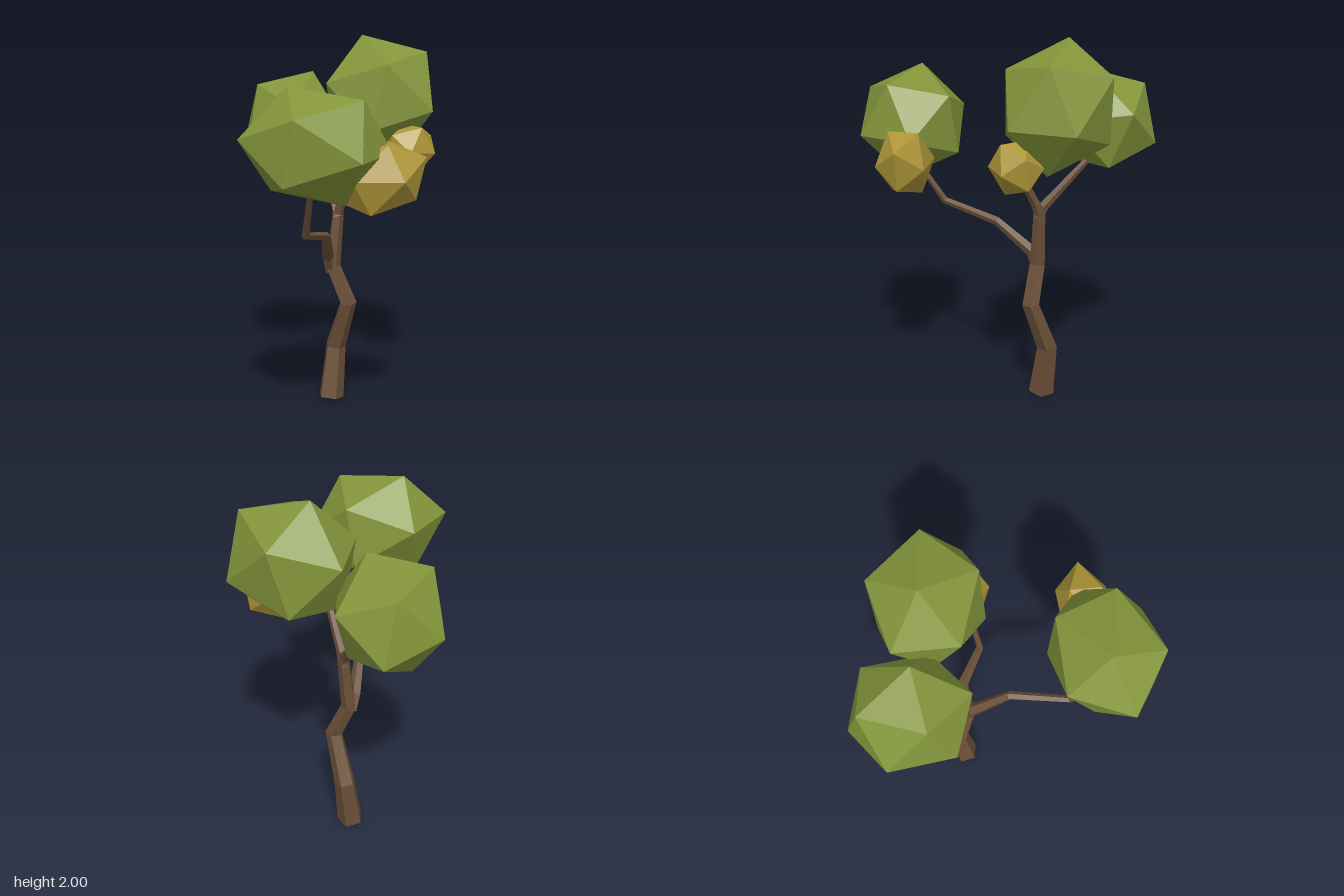
import * as THREE from 'three';
import { ConvexGeometry } from 'three/addons/geometries/ConvexGeometry.js';

const V = (p) => new THREE.Vector3(...p);
const material = (color) => new THREE.MeshStandardMaterial({ color, flatShading: true });

// Stretched icosahedron: one face (a, b, c, relative to the centre) fixes all twelve corners
function foliage(name, mat, centre, a, b, c) {
  const face = [V(a), V(b), V(c)];
  const points = [];
  face.forEach((p, i) => {
    const q = face[(i + 1) % 3], r = face[(i + 2) % 3];
    const across = q.clone().add(r).multiplyScalar(0.618034).sub(p);
    for (const v of [p, across]) points.push(v.clone(), v.clone().negate());
  });
  const mesh = new THREE.Mesh(new ConvexGeometry(points), mat);
  mesh.position.set(...centre);
  mesh.name = name;
  return mesh;
}

// Tapered five-sided limb along a bent path of [x, y, z, radius]
function limb(name, mat, path, sides = 5) {
  const pts = path.map((p) => V(p.slice(0, 3)));
  const dirs = pts.slice(1).map((p, i) => p.clone().sub(pts[i]).normalize());
  const positions = [], index = [];
  const side = new THREE.Vector3(1, 0, 0);
  pts.forEach((p, i) => {
    const t = dirs[Math.max(i - 1, 0)].clone().add(dirs[Math.min(i, dirs.length - 1)]).normalize();
    side.addScaledVector(t, -side.dot(t)).normalize();
    const up = side.clone().cross(t);
    for (let k = 0; k < sides; k++) {
      const angle = (k / sides) * Math.PI * 2;
      const v = p.clone()
        .addScaledVector(side, Math.cos(angle) * path[i][3])
        .addScaledVector(up, Math.sin(angle) * path[i][3]);
      positions.push(v.x, v.y, v.z);
      if (i > 0) {
        const n = (k + 1) % sides, lo = (i - 1) * sides, hi = i * sides;
        index.push(lo + k, hi + k, lo + n, lo + n, hi + k, hi + n);
      }
    }
  });
  // End caps
  const last = (pts.length - 1) * sides;
  for (let k = 1; k < sides - 1; k++) {
    index.push(0, k, k + 1, last, last + k + 1, last + k);
  }
  const indexed = new THREE.BufferGeometry();
  indexed.setAttribute('position', new THREE.Float32BufferAttribute(positions, 3));
  indexed.setIndex(index);
  const geometry = indexed.toNonIndexed();
  geometry.computeVertexNormals();
  const mesh = new THREE.Mesh(geometry, mat);
  mesh.name = name;
  return mesh;
}

export function createModel() {
  const group = new THREE.Group();
  group.name = 'tree';
  const bark = material(0x6b5038);
  const green = material(0x83943a);
  const gold = material(0xae9538);

  // Trunk and branches
  group.add(
    limb('trunk', bark, [
      [-0.05, 0.01, -0.178, 0.072],
      [-0.02, 0.3, -0.208, 0.057],
      [0.04, 0.57, -0.12, 0.047],
      [-0.04, 0.77, -0.15, 0.042],
      [-0.01, 1.08, -0.16, 0.032],
    ]),
    limb('frontBranch', bark, [
      [-0.05, 0.75, -0.155, 0.035],
      [-0.07, 0.83, -0.12, 0.034],
      [-0.095, 0.99, 0.07, 0.024],
      [-0.22, 1.06, 0.36, 0.02],
      [-0.205, 1.32, 0.53, 0.014],
    ]),
    limb('backBranch', bark, [
      [-0.01, 1.04, -0.15, 0.03],
      [-0.02, 1.1, -0.18, 0.027],
      [-0.12, 1.35, -0.42, 0.016],
    ]),
    limb('topBranch', bark, [
      [-0.015, 1.03, -0.165, 0.03],
      [0, 1.11, -0.145, 0.027],
      [0.07, 1.34, -0.04, 0.018],
      [0.11, 1.5, -0.06, 0.014],
    ]),
  );

  // Leaf crowns
  group.add(
    foliage('frontCrown', green, [-0.177, 1.518, 0.512],
      [-0.13, 0.275, -0.035], [0.209, 0.22, 0.096], [-0.118, 0.147, 0.247]),
    foliage('topCrown', green, [0.227, 1.68, -0.25],
      [-0.094, 0.32, -0.046], [0, 0.18, 0.253], [-0.299, 0.075, 0.09]),
    foliage('backCrown', green, [-0.233, 1.521, -0.458],
      [0.11, 0.283, 0.052], [-0.192, 0.214, 0.054], [-0.024, 0.188, -0.235]),
    foliage('frontSmallCrown', gold, [0.12, 1.365, 0.514],
      [0.217, 0.1, 0.018], [0.025, 0.165, 0.078], [0.098, 0, 0.136]),
    foliage('sideSmallCrown', gold, [0.353, 1.413, -0.055],
      [-0.012, 0, 0.135], [0.127, -0.01, 0.062], [0.055, 0.125, 0.07]),
  );
  return group;
}
